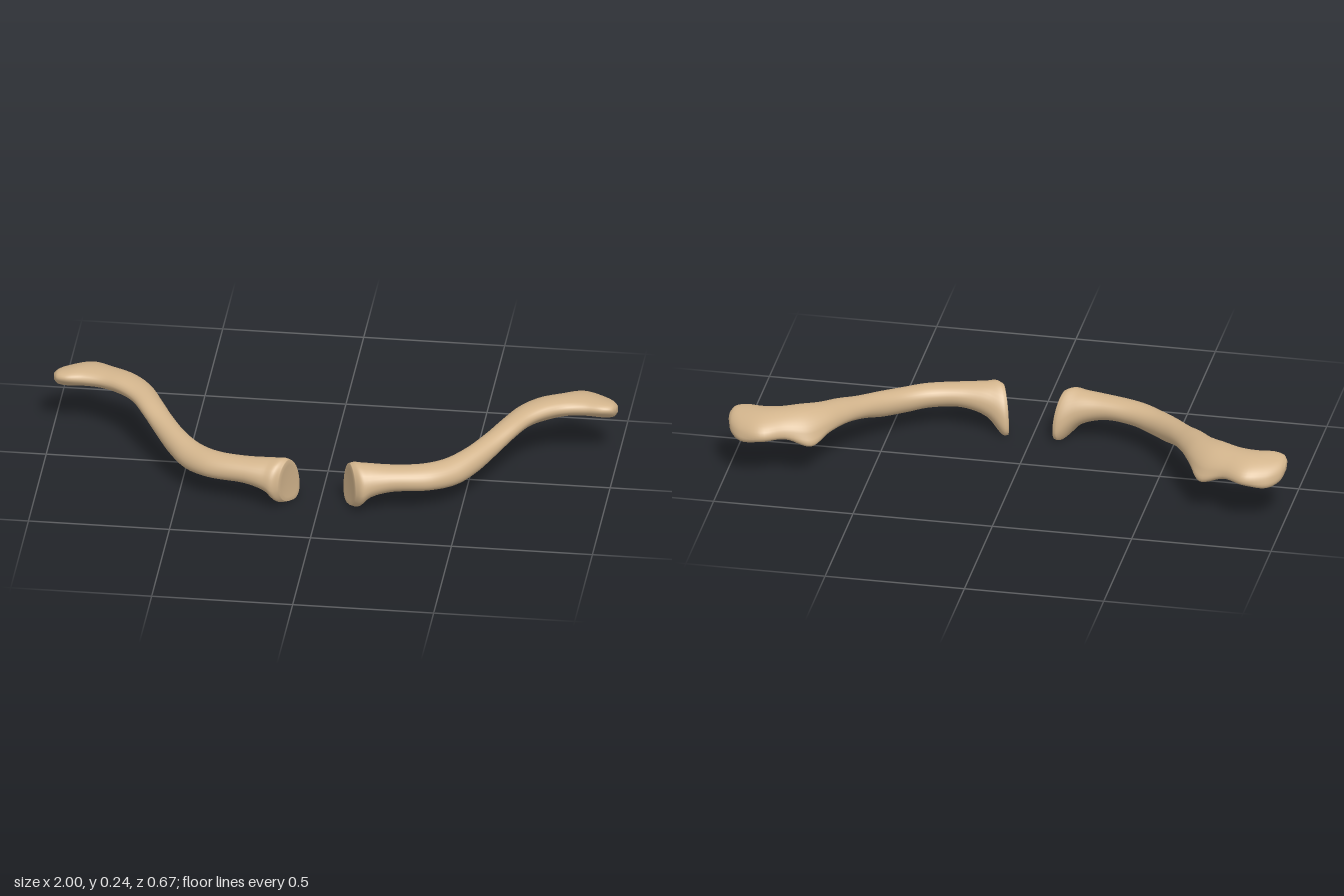
import * as THREE from 'three';

// Cross-sections from the inner to the outer end of the left bone:
// front x, z | back x, z | front y, back y | top y, bottom y | shift of the lowest point towards the back
const SECTIONS = [
  [0.135, 0.318, 0.078, 0.188, 0.085, 0.05, 0.172, 0.004, 0.2],
  [0.162, 0.333, 0.092, 0.18, 0.085, 0.055, 0.18, 0.004, 0.2],
  [0.195, 0.324, 0.155, 0.195, 0.105, 0.105, 0.175, 0.052, 0.1],
  [0.26, 0.308, 0.25, 0.2, 0.12, 0.125, 0.168, 0.077, 0],
  [0.40, 0.272, 0.35, 0.18, 0.115, 0.125, 0.165, 0.077, 0],
  [0.49, 0.21, 0.42, 0.14, 0.115, 0.125, 0.166, 0.073, 0],
  [0.55, 0.14, 0.49, 0.07, 0.13, 0.135, 0.178, 0.085, 0],
  [0.61, 0.055, 0.55, -0.015, 0.155, 0.155, 0.195, 0.115, 0],
  [0.66, -0.015, 0.60, -0.105, 0.18, 0.17, 0.215, 0.138, 0.1],
  [0.71, -0.085, 0.645, -0.19, 0.195, 0.175, 0.228, 0.143, 0.3],
  [0.77, -0.132, 0.70, -0.262, 0.2, 0.165, 0.235, 0.127, 0.65],
  [0.83, -0.158, 0.785, -0.295, 0.205, 0.18, 0.237, 0.155, 0.2],
  [0.89, -0.166, 0.865, -0.335, 0.207, 0.178, 0.235, 0.153, 0.1],
  [0.95, -0.163, 0.942, -0.31, 0.207, 0.175, 0.228, 0.142, 0.4],
  [0.985, -0.175, 0.985, -0.27, 0.206, 0.18, 0.22, 0.158, 0.3],
  [0.998, -0.197, 0.999, -0.235, 0.203, 0.193, 0.209, 0.183, 0],
];
const SIDES = 32;
const STEPS = 90;

// Four lengthwise curves guide the front, top, back and bottom of the bone
function guideCurves() {
  const guides = [[], [], [], []];
  for (const [fx, fz, bx, bz, fy, by, ty, dy, shift] of SECTIONS) {
    const front = new THREE.Vector3(fx, fy, fz);
    const back = new THREE.Vector3(bx, by, bz);
    const top = front.clone().lerp(back, 0.5).setY(ty);
    const bottom = front.clone().lerp(back, 0.5 + shift / 2).setY(dy);
    [front, top, back, bottom].forEach((p, i) => guides[i].push(p));
  }
  return guides.map((points) => new THREE.CatmullRomCurve3(points));
}

// Elliptical quarter arcs join the four guide points into a ring
function makeRing(corners) {
  const centre = new THREE.Vector3();
  corners.forEach((p) => centre.addScaledVector(p, 0.25));
  const arms = corners.map((p) => p.clone().sub(centre));
  const ring = [];
  for (let j = 0; j < SIDES; j++) {
    const turn = (j / SIDES) * 4;
    const q = Math.floor(turn);
    const a = (turn - q) * Math.PI / 2;
    ring.push(centre.clone()
      .addScaledVector(arms[q], Math.cos(a))
      .addScaledVector(arms[(q + 1) % 4], Math.sin(a)));
  }
  return { centre, ring };
}

function boneGeometry(side) {
  const guides = guideCurves();
  const rings = [];
  for (let i = 0; i <= STEPS; i++) {
    rings.push(makeRing(guides.map((curve) => curve.getPoint(i / STEPS))));
  }
  // A slightly smaller ring dishes the inner joint face
  const { centre, ring } = rings[0];
  rings.unshift({
    centre: centre.clone().add(new THREE.Vector3(0.008, 0, 0)),
    ring: ring.map((p) => p.clone().lerp(centre, 0.22)),
  });

  const positions = [];
  const index = [];
  const add = (p) => positions.push(p.x * side, p.y, p.z);
  const face = (a, b, c) => (side > 0 ? index.push(a, b, c) : index.push(a, c, b));
  rings.forEach((r) => r.ring.forEach(add));
  const first = positions.length / 3;
  add(rings[0].centre);
  add(rings[rings.length - 1].centre);
  const lastRow = (rings.length - 1) * SIDES;

  for (let j = 0; j < SIDES; j++) {
    const k = (j + 1) % SIDES;
    for (let row = 0; row < lastRow; row += SIDES) {
      face(row + j, row + SIDES + j, row + k);
      face(row + k, row + SIDES + j, row + SIDES + k);
    }
    face(first, j, k);
    face(first + 1, lastRow + k, lastRow + j);
  }
  const geometry = new THREE.BufferGeometry();
  geometry.setAttribute('position', new THREE.Float32BufferAttribute(positions, 3));
  geometry.setIndex(index);
  geometry.computeVertexNormals();
  return geometry;
}

export function createModel() {
  const model = new THREE.Group();
  model.name = 'collarbones';
  const bone = new THREE.MeshStandardMaterial({ color: 0xd2b48c });
  bone.name = 'bone';
  for (const [name, side] of [['leftCollarbone', 1], ['rightCollarbone', -1]]) {
    const mesh = new THREE.Mesh(boneGeometry(side), bone);
    mesh.name = name;
    model.add(mesh);
  }
  return model;
}
